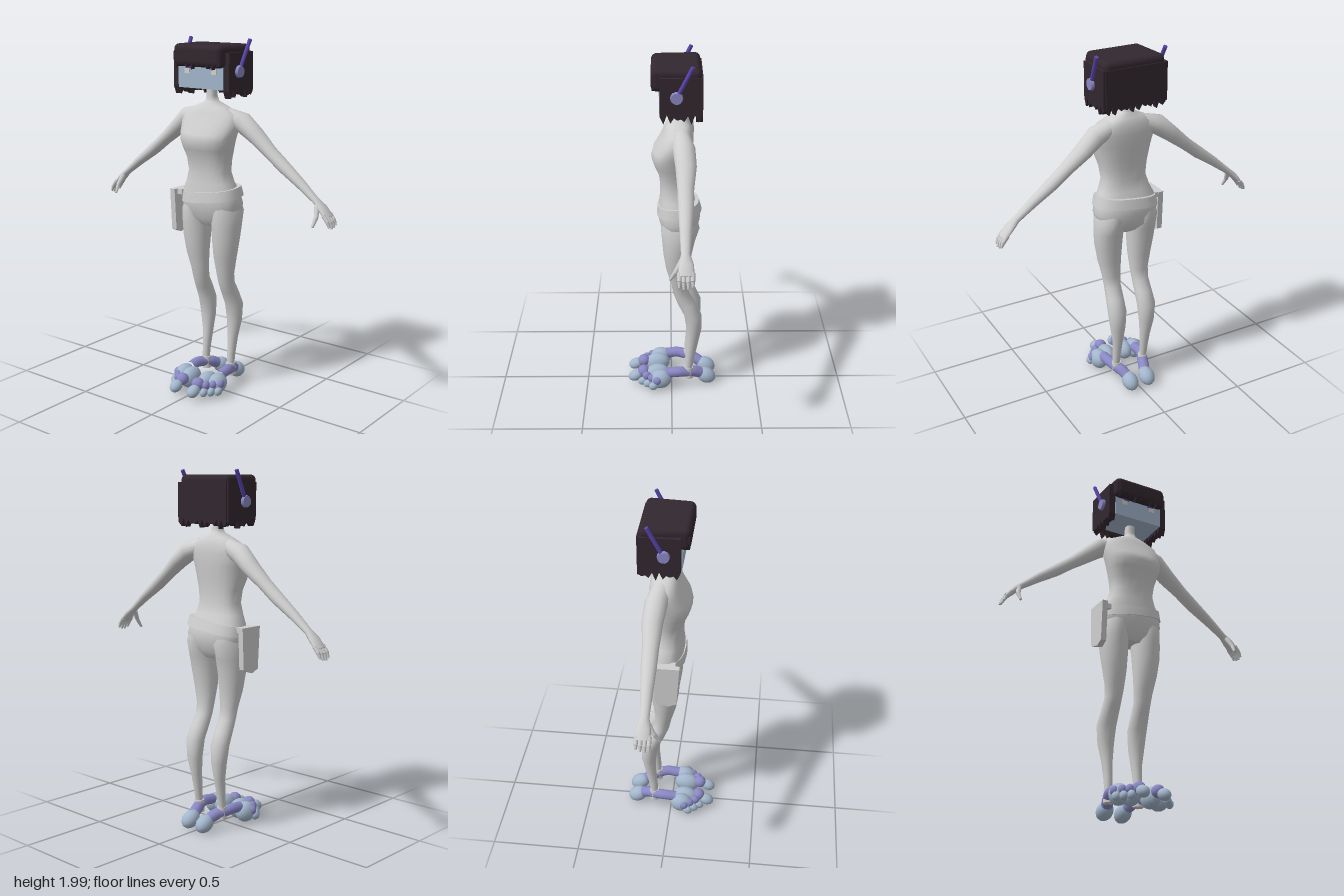
import * as THREE from 'three';
import { RoundedBoxGeometry } from 'three/addons/geometries/RoundedBoxGeometry.js';

const mat = (name, color) => Object.assign(new THREE.MeshStandardMaterial({ color }), { name });
const grey = mat('body grey', 0xcfcfcf);
const hairDark = mat('hair dark', 0x32272f);
const blue = mat('pale blue', 0xa3b6cc);
const violet = mat('joint violet', 0x8a88c4);
const purple = mat('antenna purple', 0x5a45ae);
const cream = mat('eye cream', 0xd8cfca);

const V = (x, y, z) => new THREE.Vector3(x, y, z);

function add(parent, name, geo, material, x = 0, y = 0, z = 0) {
  const m = new THREE.Mesh(geo, material);
  m.name = name;
  m.position.set(x, y, z);
  parent.add(m);
  return m;
}

// Skin over rings [cx, cy, cz, rx, rz, tilt], listed upwards along the limb
function loft(rings, n = 16, power = 2) {
  const pos = [], idx = [];
  const pw = (v) => Math.sign(v) * Math.abs(v) ** (2 / power);
  const point = ([cx, cy, cz, rx, rz, tilt = 0], j) => {
    const a = (j / n) * Math.PI * 2, u = pw(Math.cos(a)) * rx;
    pos.push(cx + u * Math.cos(tilt), cy + u * Math.sin(tilt), cz + pw(Math.sin(a)) * rz);
  };
  rings.forEach((r, i) => {
    for (let j = 0; j < n; j++) {
      point(r, j);
      if (!i) continue;
      const k = (j + 1) % n, a = (i - 1) * n + j, b = (i - 1) * n + k, c = i * n + j, d = i * n + k;
      idx.push(a, c, b, b, c, d);
    }
  });
  // end caps with their own corners
  for (const end of [0, 1]) {
    const r = rings[end ? rings.length - 1 : 0], base = pos.length / 3;
    for (let j = 0; j < n; j++) point(r, j);
    pos.push(r[0], r[1], r[2]);
    for (let j = 0; j < n; j++) {
      const p = base + j, q = base + (j + 1) % n;
      idx.push(base + n, ...(end ? [q, p] : [p, q]));
    }
  }
  const g = new THREE.BufferGeometry();
  g.setAttribute('position', new THREE.Float32BufferAttribute(pos, 3));
  g.setIndex(idx);
  g.computeVertexNormals();
  return g;
}

// Tapered rod between two points
function rod(parent, name, material, a, b, ra, rb = ra, sides = 10) {
  const d = b.clone().sub(a);
  const m = add(parent, name, new THREE.CylinderGeometry(rb, ra, d.length(), sides), material);
  m.position.copy(a).addScaledVector(d, 0.5);
  m.quaternion.setFromUnitVectors(V(0, 1, 0), d.normalize());
  return m;
}

function ball(parent, name, material, [x, y, z], [rx, ry, rz], pitch = 0) {
  const g = new THREE.SphereGeometry(1, 14, 10);
  g.scale(rx, ry, rz);
  add(parent, name, g, material, x, y, z).rotation.x = pitch;
}

// Sheet of hair with a ragged lower edge, centred on its own x
function strands(width, top, bottom, teeth, depth, seed) {
  const s = new THREE.Shape();
  s.moveTo(-width / 2, top);
  for (let i = 0; i <= teeth * 2; i++) {
    const wobble = 0.012 * Math.sin(seed + i * 2.3);
    s.lineTo(-width / 2 + (width * i) / (teeth * 2), bottom + (i % 2 ? 0 : 0.028) + wobble);
  }
  s.lineTo(width / 2, top);
  return new THREE.ExtrudeGeometry(s, { depth, bevelEnabled: false });
}

function buildHead(root) {
  const head = new THREE.Group();
  head.name = 'head';
  root.add(head);
  add(head, 'face', new THREE.BoxGeometry(0.3, 0.19, 0.19), blue, 0, 1.83, -0.03);

  // hair cap, narrower towards the front
  const cap = new RoundedBoxGeometry(0.36, 0.12, 0.26, 4, 0.03);
  const p = cap.attributes.position;
  for (let i = 0; i < p.count; i++) p.setX(i, p.getX(i) * (0.94 - p.getZ(i) * 0.45));
  cap.computeVertexNormals();
  add(head, 'hairCap', cap, hairDark, 0, 1.91, -0.023);
  add(head, 'fringe', strands(0.31, 1.93, 1.85, 9, 0.028, 1), hairDark, 0, 0, 0.074);
  add(head, 'backHair', strands(0.35, 1.93, 1.7, 10, 0.035, 4), hairDark, 0, 0, -0.16);
  add(head, 'backHairFill', new THREE.BoxGeometry(0.31, 0.15, 0.05), hairDark, 0, 1.83, -0.11);

  for (const s of [1, -1]) {
    const side = add(head, 'sideHair', strands(0.215, 1.93, 1.7, 6, 0.04, 2 + s), hairDark, s > 0 ? 0.147 : -0.187, 0, -0.047);
    side.rotation.y = Math.PI / 2;
    // eyes
    add(head, 'eyeWhite', new THREE.BoxGeometry(0.032, 0.03, 0.004), cream, s * 0.09, 1.828, 0.066);
    add(head, 'iris', new THREE.BoxGeometry(0.036, 0.018, 0.005), purple, s * 0.08, 1.85, 0.067);
    add(head, 'eyelash', new THREE.BoxGeometry(0.075, 0.01, 0.006), hairDark, s * 0.085, 1.86, 0.067);
    // ear pieces and antennae
    const disc = add(head, 'earPiece', new THREE.CylinderGeometry(0.03, 0.036, 0.025, 14), violet, s * 0.19, 1.83, -0.025);
    disc.rotation.z = -s * Math.PI / 2;
    rod(head, 'antenna', purple, V(s * 0.188, 1.81, -0.015), V(s * 0.2, 1.994, -0.107), 0.011);
  }
}

function buildArm(root, s) {
  const arm = new THREE.Group();
  arm.name = s > 0 ? 'leftArm' : 'rightArm';
  root.add(arm);
  const rings = [
    [0.1, 1.585, -0.05, 0.045, 0.05, -1.75], [0.19, 1.555, -0.063, 0.056, 0.06, -2.0],
    [0.27, 1.49, -0.073, 0.045, 0.056, -2.3], [0.365, 1.412, -0.07, 0.035, 0.044, -2.3],
    [0.45, 1.345, -0.07, 0.034, 0.041, -2.22], [0.56, 1.265, -0.068, 0.026, 0.032, -2.2],
    [0.655, 1.19, -0.066, 0.018, 0.024, -2.3], [0.695, 1.155, -0.068, 0.019, 0.038, -2.45],
    [0.735, 1.11, -0.068, 0.014, 0.042, -2.5],
  ];
  add(arm, 'armAndPalm', loft(rings.map(([x, y, z, a, b, t]) => [s * x, y, z, a, b, s * t]), 14), grey);
  for (let i = 0; i < 4; i++) {
    const z = -0.1 + i * 0.022, len = [0.85, 1, 1.05, 0.9][i];
    const knuckle = V(s * (0.732 + 0.018 * len), 1.118 - 0.03 * len, z);
    rod(arm, 'finger', grey, V(s * 0.722, 1.125, z), knuckle, 0.012, 0.011, 8);
    rod(arm, 'fingertip', grey, knuckle, V(s * (0.742 + 0.02 * len), 1.115 - 0.058 * len, z), 0.011, 0.006, 8);
  }
  rod(arm, 'thumb', grey, V(s * 0.675, 1.17, -0.05), V(s * 0.69, 1.11, -0.015), 0.016, 0.012, 8);
  rod(arm, 'thumbTip', grey, V(s * 0.69, 1.112, -0.016), V(s * 0.685, 1.065, 0.012), 0.012, 0.007, 8);
}

function buildLeg(root, s) {
  const rings = [
    [0.09, 0.13, -0.1, 0.021, 0.021], [0.09, 0.2, -0.106, 0.023, 0.026],
    [0.09, 0.3, -0.12, 0.03, 0.032], [0.094, 0.4, -0.129, 0.045, 0.042],
    [0.095, 0.5, -0.122, 0.054, 0.05], [0.092, 0.58, -0.085, 0.05, 0.052],
    [0.09, 0.64, -0.056, 0.048, 0.046], [0.09, 0.7, -0.043, 0.054, 0.045],
    [0.096, 0.8, -0.033, 0.068, 0.063], [0.101, 0.9, -0.033, 0.079, 0.078],
    [0.102, 0.98, -0.038, 0.083, 0.09], [0.1, 1.06, -0.047, 0.083, 0.106],
    [0.09, 1.13, -0.045, 0.07, 0.09],
  ];
  add(root, s > 0 ? 'leftLeg' : 'rightLeg', loft(rings.map(([x, ...r]) => [s * x, ...r])), grey);
}

function buildFoot(root, s) {
  const foot = new THREE.Group();
  foot.name = s > 0 ? 'leftFoot' : 'rightFoot';
  root.add(foot);
  const tube = (name, pts, r) => add(foot, name,
    new THREE.TubeGeometry(new THREE.CatmullRomCurve3(pts.map(([x, y, z]) => V(s * x, y, z))), 12, r, 12), violet);
  // ankle, heel and arch
  add(foot, 'ankle', new THREE.CylinderGeometry(0.027, 0.03, 0.07, 14), grey, s * 0.088, 0.106, -0.1);
  tube('heelLink', [[0.088, 0.105, -0.1], [0.075, 0.1, -0.13], [0.06, 0.08, -0.17]], 0.032);
  ball(foot, 'heel', blue, [s * 0.055, 0.058, -0.205], [0.046, 0.046, 0.06], -0.5);
  tube('arch', [[0.09, 0.105, -0.1], [0.105, 0.115, -0.04], [0.105, 0.108, 0.03]], 0.03);
  // pads under the front of the foot
  ball(foot, 'innerPad', blue, [s * 0.058, 0.075, 0.085], [0.047, 0.058, 0.075], 0.15);
  ball(foot, 'outerPad', blue, [s * 0.118, 0.075, 0.065], [0.05, 0.058, 0.065], 0.15);
  // big toe, then the small toes fanning outwards
  ball(foot, 'bigToeKnuckle', violet, [s * 0.055, 0.09, 0.165], [0.036, 0.035, 0.036]);
  ball(foot, 'bigToe', blue, [s * 0.062, 0.062, 0.214], [0.034, 0.032, 0.044], 0.4);
  for (let i = 0; i < 3; i++) {
    const x = s * (0.1 + i * 0.027), z = 0.155 - i * 0.032;
    ball(foot, 'toeKnuckle', violet, [x, 0.085, z - 0.008], [0.021, 0.025, 0.026]);
    ball(foot, 'toe', blue, [x + s * 0.003, 0.05, z + 0.016], [0.02, 0.024, 0.028], 0.4);
  }
}

export function createModel() {
  const root = new THREE.Group();
  root.name = 'figure';

  // torso rings given as height, half width, back z, front z
  const profile = [
    [0.975, 0.07, -0.1, 0.02], [1.02, 0.165, -0.138, 0.052], [1.1, 0.186, -0.158, 0.074],
    [1.16, 0.176, -0.142, 0.07], [1.22, 0.148, -0.112, 0.064], [1.28, 0.128, -0.1, 0.062],
    [1.35, 0.137, -0.1, 0.07], [1.405, 0.152, -0.105, 0.094], [1.45, 0.163, -0.11, 0.109],
    [1.49, 0.172, -0.114, 0.1], [1.55, 0.182, -0.118, 0.062], [1.6, 0.165, -0.114, 0.042],
    [1.635, 0.095, -0.1, 0.025], [1.66, 0.036, -0.078, 0.002], [1.69, 0.027, -0.068, -0.008],
    [1.77, 0.027, -0.062, -0.004],
  ];
  add(root, 'torsoAndNeck', loft(profile.map(([y, w, b, f]) => [0, y, (b + f) / 2, w, (f - b) / 2]), 20, 2.4), grey);

  // slanted belt with a flat holster hanging on the right hip
  const belt = add(root, 'belt', loft([
    [0, -0.028, 0, 0.189, 0.124, 0.12], [0, 0.028, 0, 0.178, 0.114, 0.12],
  ], 20, 2.4), grey, 0, 1.15, -0.04);
  belt.rotation.x = 0.1;
  const flap = new THREE.Shape([[-0.08, 1.16], [-0.065, 0.925], [-0.02, 0.905], [0.05, 0.93], [0.06, 1.16]]
    .map(([x, y]) => new THREE.Vector2(x, y)));
  const holster = add(root, 'holster', new THREE.ExtrudeGeometry(flap, { depth: 0.032, bevelEnabled: false }), grey, -0.222, 0, -0.02);
  holster.rotation.y = Math.PI / 2;
  add(root, 'holsterHanger', new THREE.BoxGeometry(0.06, 0.03, 0.11), grey, -0.185, 1.145, -0.02);

  buildHead(root);
  for (const s of [1, -1]) {
    buildArm(root, s);
    buildLeg(root, s);
    buildFoot(root, s);
  }
  return root;
}
